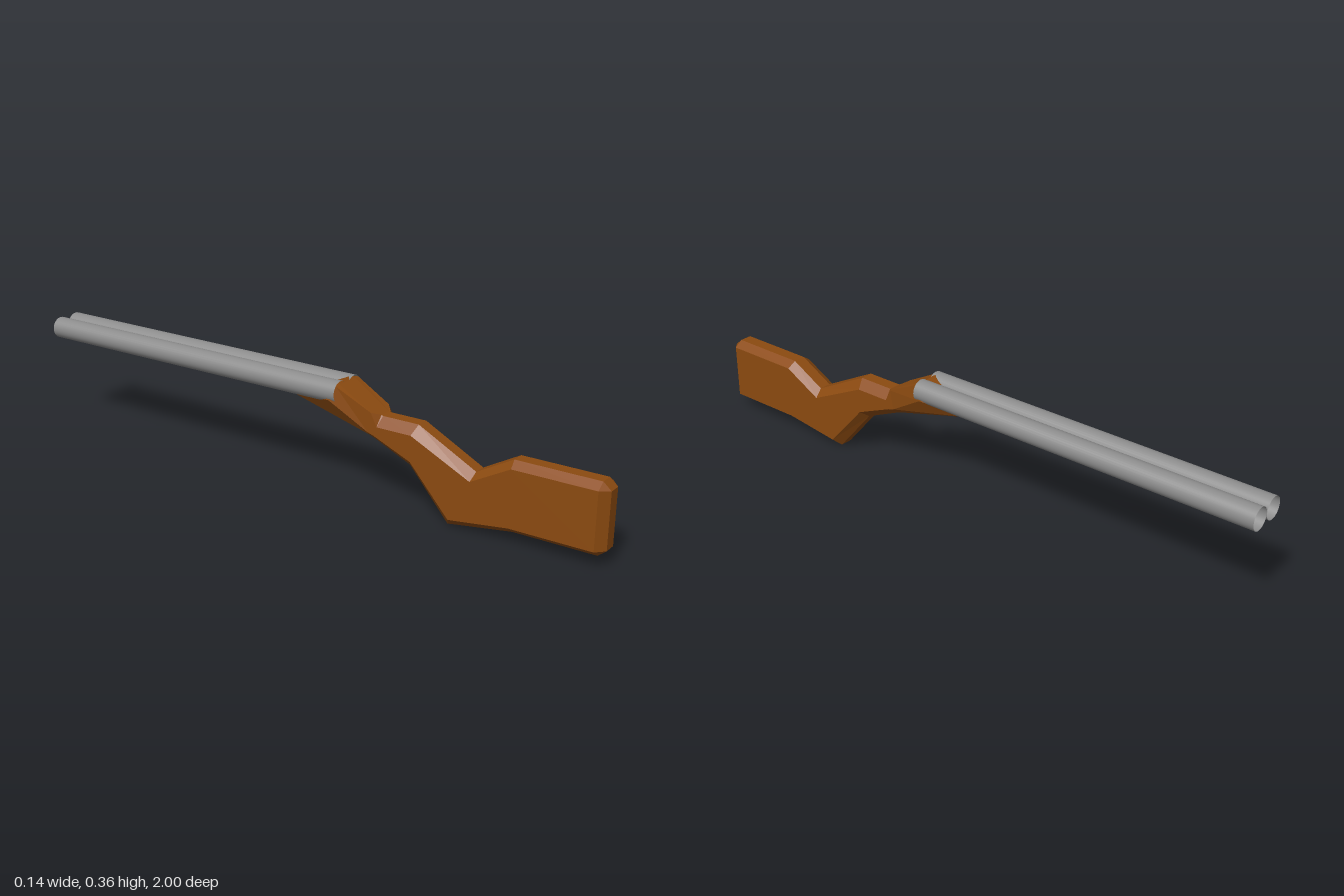
import * as THREE from 'three';

// Joins eight-sided rings, ordered from +z to -z, into a closed solid
function loft(rings) {
  const n = rings[0].length, index = [];
  for (let i = 0; i < rings.length - 1; i++) {
    for (let k = 0; k < n; k++) {
      const a = i * n + k, b = i * n + (k + 1) % n;
      index.push(a, a + n, b, b, a + n, b + n);
    }
  }
  const last = (rings.length - 1) * n;
  for (let k = 1; k < n - 1; k++) {
    index.push(0, k, k + 1);
    index.push(last, last + k + 1, last + k);
  }
  const geo = new THREE.BufferGeometry();
  geo.setAttribute('position', new THREE.Float32BufferAttribute(rings.flat(2), 3));
  geo.setIndex(index);
  const flat = geo.toNonIndexed();
  flat.computeVertexNormals();
  return flat;
}

// Mirrored ring from four half-section points [x, y, z]: top, upper side, lower side, bottom
function ring(top, upper, lower, bottom) {
  const half = [bottom, lower, upper, top];
  const mirrored = [top, upper, lower, bottom].map(([x, y, z]) => [-x, y, z]);
  return [...half, ...mirrored];
}

export function createModel() {
  const group = new THREE.Group();
  const wood = new THREE.MeshStandardMaterial({ color: 0x8b4a10, flatShading: true });
  const steel = new THREE.MeshStandardMaterial({ color: 0x8c8c8c, side: THREE.DoubleSide });

  const c = 0.02, w = 0.047; // half widths of the top flat and of the sides
  const stock = new THREE.Mesh(loft([
    // butt face and its bevel
    ring([c, 0.222, 1], [c, 0.222, 1], [c, 0.05, 1], [c, 0.05, 1]),
    ring([c, 0.244, 0.975], [w, 0.225, 0.975], [w, 0.05, 0.975], [c, 0.03, 0.975]),
    // comb and belly
    ring([c, 0.244, 0.715], [w, 0.225, 0.72], [w, 0.05, 0.72], [c, 0.03, 0.72]),
    ring([c, 0.18, 0.6], [w, 0.157, 0.595], [w, 0.025, 0.53], [c, 0, 0.515]),
    // wrist
    ring([c, 0.278, 0.41], [w, 0.25, 0.4], [w, 0.17, 0.4], [c, 0.15, 0.385]),
    ring([c, 0.278, 0.29], [w, 0.25, 0.285], [w, 0.222, 0.275], [c, 0.205, 0.26]),
    // head flaring out under the barrels
    ring([c, 0.28, 0.284], [w, 0.29, 0.265], [w, 0.228, 0.255], [c, 0.21, 0.245]),
    ring([0.04, 0.351, 0.15], [0.058, 0.349, 0.15], [0.066, 0.305, 0.13], [0.03, 0.287, -0.02]),
    ring([0.03, 0.357, 0.14], [0.058, 0.349, 0.14], [0.066, 0.305, 0.12], [0.03, 0.289, -0.025]),
  ]), wood);
  stock.name = 'stock';
  group.add(stock);

  // Two open barrels side by side
  const tube = new THREE.CylinderGeometry(0.0345, 0.0345, 1.15, 32, 1, true).rotateX(Math.PI / 2);
  for (const side of [-1, 1]) {
    const barrel = new THREE.Mesh(tube, steel);
    barrel.name = side > 0 ? 'leftBarrel' : 'rightBarrel';
    barrel.position.set(side * 0.035, 0.325, -0.425);
    group.add(barrel);
  }
  return group;
}
